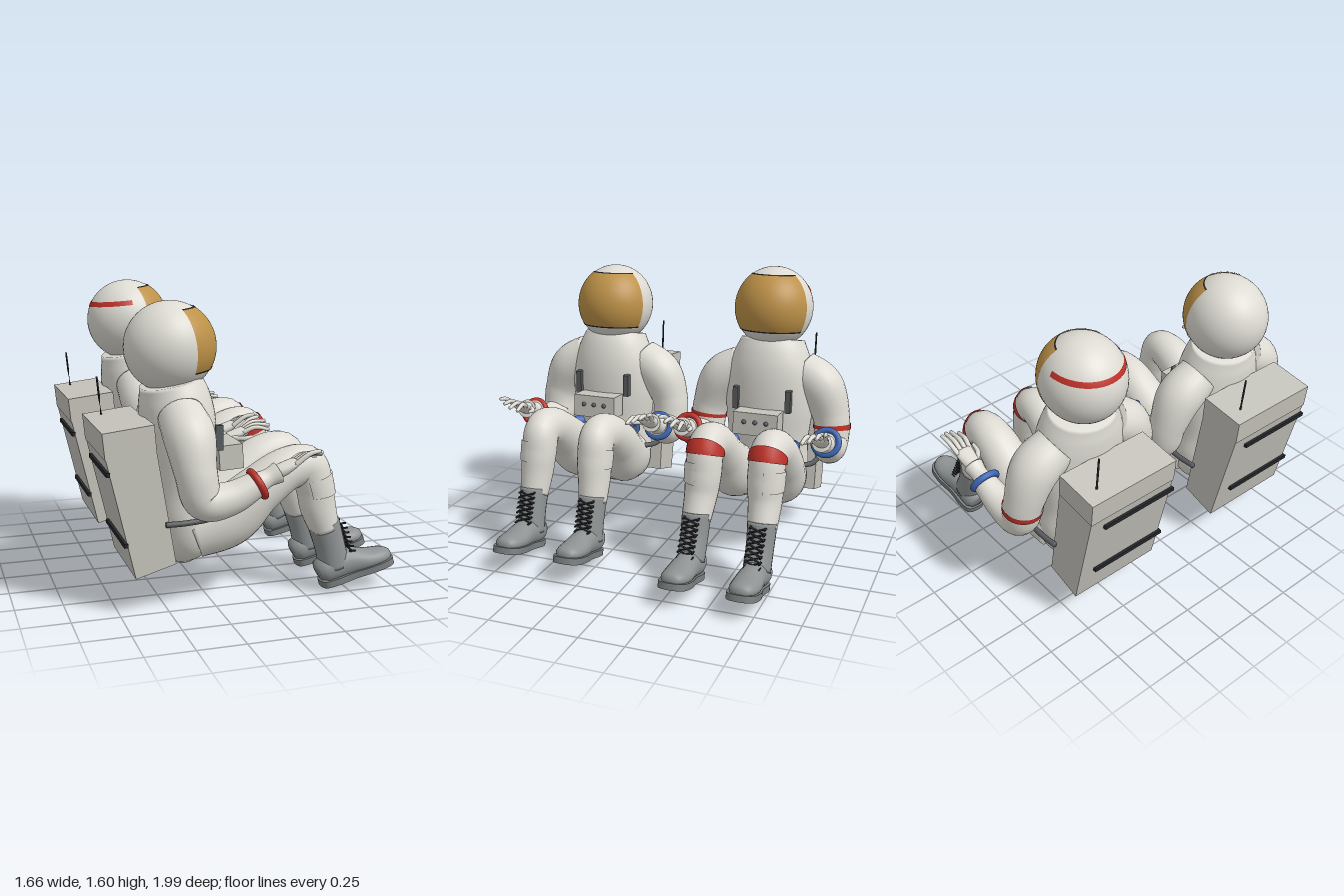
import * as THREE from 'three';
import { mergeVertices } from 'three/addons/utils/BufferGeometryUtils.js';

const mat = (name, color, side = THREE.FrontSide) => {
  const m = new THREE.MeshStandardMaterial({ color, side });
  m.name = name;
  return m;
};
const suit = mat('suitWhite', 0xdddbd3, THREE.DoubleSide);
const packGrey = mat('packGrey', 0xc6c4bc);
const boot = mat('bootGrey', 0x8e9292);
const soleGrey = mat('soleGrey', 0x7b7f7f);
const metal = mat('darkGrey', 0x585b5e);
const black = mat('black', 0x26272a, THREE.DoubleSide);
const gold = mat('visorGold', 0xbd9148, THREE.DoubleSide);
const red = mat('red', 0xbe3128, THREE.DoubleSide);
const blue = mat('blue', 0x3c66b4);

function add(parent, name, geo, material, pos = [0, 0, 0]) {
  const m = new THREE.Mesh(geo, material);
  m.name = name;
  m.position.set(...pos);
  parent.add(m);
  return m;
}

// Smooth sweep through points [x, y, z, radius, width along z].
// from/to pick a stretch, a0/a1 a part of the circumference, grow lifts it outward.
function limb(pts, { from = 0, to = 1, a0 = 0, a1 = Math.PI * 2, grow = 0, caps = true, seg = 24, n = 60 } = {}) {
  const spline = (f) => new THREE.CatmullRomCurve3(pts.map(f), false, 'catmullrom', 0.5);
  const path = spline((p) => new THREE.Vector3(p[0], p[1], p[2]));
  const size = spline((p) => new THREE.Vector3(p[3], p[4] ?? p[3], 0));
  const frames = path.computeFrenetFrames(n);
  const pos = [], idx = [];
  const ring = (i, k) => {
    const t = path.getUtoTmapping(i / n);
    const c = path.getPoint(t), r = size.getPoint(t);
    for (let j = 0; j <= seg; j++) {
      const a = a0 + (a1 - a0) * j / seg;
      const v = c.clone()
        .addScaledVector(frames.normals[i], Math.cos(a) * (r.y + grow) * k)
        .addScaledVector(frames.binormals[i], Math.sin(a) * (r.x + grow) * k);
      pos.push(v.x, v.y, v.z);
    }
  };
  const i0 = Math.round(from * n), i1 = Math.round(to * n);
  if (caps) ring(i0, 0);
  for (let i = i0; i <= i1; i++) ring(i, 1);
  if (caps) ring(i1, 0);
  const w = seg + 1, rows = pos.length / 3 / w;
  for (let i = 0; i < rows - 1; i++) {
    for (let j = 0; j < seg; j++) {
      const a = i * w + j;
      idx.push(a, a + 1, a + w, a + 1, a + w + 1, a + w);
    }
  }
  let g = new THREE.BufferGeometry();
  g.setAttribute('position', new THREE.Float32BufferAttribute(pos, 3));
  g.setIndex(idx);
  g = mergeVertices(g, 1e-5);
  g.computeVertexNormals();
  return g;
}

function extrude(points, depth) {
  const shape = new THREE.Shape(points.map((p) => new THREE.Vector2(p[0], p[1])));
  return new THREE.ExtrudeGeometry(shape, { depth, bevelEnabled: false });
}

// Helmet with gold visor, dark visor rims and optional rear stripe
function helmet(parent, y, striped) {
  const g = new THREE.Group();
  g.name = 'helmet';
  g.position.set(-0.42, y, 0);
  g.rotation.z = 0.09;
  g.scale.set(0.238, 0.235, 0.225);
  parent.add(g);
  const patch = (name, r, p0, pl, t0, tl, m) => add(g, name, new THREE.SphereGeometry(r, 40, 24, p0, pl, t0, tl), m);
  add(g, 'helmetShell', new THREE.SphereGeometry(1, 48, 32), suit);
  patch('visor', 1.012, Math.PI - 1.2, 2.4, 0.65, 1.48, gold);
  patch('visorTopRim', 1.02, Math.PI - 1.2, 2.4, 0.625, 0.04, black);
  patch('visorBottomRim', 1.02, Math.PI - 1.2, 2.4, 2.11, 0.04, black);
  if (striped) patch('helmetStripe', 1.012, -Math.PI / 2, Math.PI, 1.0, 0.13, red);
}

function backpack(parent) {
  const g = new THREE.Group();
  g.name = 'backpack';
  parent.add(g);
  add(g, 'packBody', extrude([[-0.813, 0.815], [-0.673, 0.2], [-0.465, 0.26], [-0.56, 0.85]], 0.54), packGrey, [0, 0, -0.27]);
  add(g, 'packLid', extrude([[-0.83, 0.95], [-0.817, 0.815], [-0.56, 0.85], [-0.57, 0.98]], 0.546), packGrey, [0, 0, -0.273]);
  add(g, 'antenna', limb([[-0.745, 0.95, -0.18, 0.006], [-0.765, 1.16, -0.18, 0.005]], { seg: 8, n: 2 }), black);
  for (const [x, y] of [[-0.805, 0.745], [-0.722, 0.38]]) {
    add(g, 'packBar', new THREE.BoxGeometry(0.02, 0.022, 0.46), black, [x, y, 0.05]);
  }
}

function arm(parent, s, striped) {
  const g = new THREE.Group();
  g.name = 'arm';
  parent.add(g);
  const dy = striped ? 0.015 : 0;
  const path = [[-0.41, 1.0 + dy, s * 0.17, 0.12], [-0.40, 0.91 + dy, s * 0.3, 0.13], [-0.39, 0.75, s * 0.37, 0.107],
    [-0.35, 0.61, s * 0.38, 0.1], [-0.22, 0.615, s * 0.395, 0.085], [-0.07, 0.69, s * 0.41, 0.064]];
  add(g, 'sleeve', limb(path), suit);
  if (striped) add(g, 'sleeveBand', limb(path, { from: 0.48, to: 0.52, grow: 0.005, caps: false }), red);

  // Wrist ring, cuff and hand
  const ring = add(g, 'wristRing', new THREE.TorusGeometry(0.07, 0.018, 14, 36), s > 0 ? red : blue, [-0.085, 0.68 + dy, s * 0.408]);
  ring.quaternion.setFromUnitVectors(new THREE.Vector3(0, 0, 1), new THREE.Vector3(0.88, 0.47, 0).normalize());
  const z = s * 0.405;
  add(g, 'cuff', limb([[-0.09, 0.68, z, 0.06], [-0.03, 0.705, z, 0.046], [0.025, 0.73, z, 0.055]], { n: 16 }), suit);
  add(g, 'palm', limb([[0.0, 0.725, z, 0.035], [0.05, 0.745, z, 0.034, 0.046], [0.11, 0.775, z, 0.022, 0.05], [0.125, 0.78, z, 0.01, 0.035]], { n: 16 }), suit);
  for (let k = 0; k < 4; k++) {
    const f = (k - 1.5) * s, reach = 0.22 + 0.025 * Math.sin(k * 1.1 + 0.4);
    add(g, 'finger', limb([[0.1, 0.77, z + f * 0.024, 0.014], [0.17, 0.80 + k * 0.008, z + f * 0.034, 0.013],
      [reach + 0.02, 0.785 + k * 0.018, z + f * 0.04, 0.01]], { seg: 10, n: 12 }), suit);
  }
  add(g, 'thumb', limb([[0.04, 0.74, z - s * 0.03, 0.018], [0.09, 0.745, z - s * 0.075, 0.014],
    [0.15, 0.755, z - s * 0.085, 0.01]], { seg: 10, n: 12 }), suit);
}

function leg(parent, s, striped) {
  const g = new THREE.Group();
  g.name = 'leg';
  parent.add(g);
  const dx = striped ? 0.05 : 0, dy = striped ? 0.02 : 0;
  const path = [[-0.34, 0.38, s * 0.12, 0.15, 0.13], [-0.15, 0.45, s * 0.15, 0.16, 0.135], [0, 0.58, s * 0.17, 0.13],
    [0.15, 0.68 + dy, s * 0.175, 0.115], [0.27, 0.69 + dy, s * 0.175, 0.11, 0.1], [0.315, 0.58, s * 0.175, 0.1],
    [0.335, 0.47, s * 0.18, 0.097, 0.092], [0.375 + dx * 0.5, 0.34, s * 0.185, 0.08]];
  add(g, 'trouserLeg', limb(path), suit);
  const a = s > 0 ? [1.75, 3.7] : [Math.PI - 3.7, Math.PI - 1.75];
  add(g, 'shinPocket', limb(path, { from: 0.71, to: 0.82, a0: a[0], a1: a[1], grow: 0.006, caps: false }), suit);
  if (striped) add(g, 'kneeBand', limb(path, { from: 0.65, to: 0.69, grow: 0.007, caps: false }), red);

  // Boot: shaft, foot and sole, toes raised
  const z = s * 0.185, b = dx * 0.5;
  add(g, 'bootShaft', limb([[0.368 + b, 0.375, z, 0.088, 0.08], [0.405 + b, 0.25, z, 0.083, 0.075], [0.435 + dx, 0.13, z, 0.085, 0.075]], { n: 16 }), boot);
  const foot = new THREE.Group();
  foot.name = 'foot';
  foot.position.set(0.35 + dx, striped ? 0.0 : 0.018, z);
  foot.rotation.z = 0.26;
  g.add(foot);
  add(foot, 'footUpper', limb([[0.012, 0.08, 0, 0.045, 0.05], [0.05, 0.088, 0, 0.075, 0.07], [0.18, 0.085, 0, 0.078, 0.072],
    [0.3, 0.06, 0, 0.056, 0.08], [0.39, 0.05, 0, 0.043, 0.068], [0.43, 0.045, 0, 0.025, 0.035]], { n: 30 }), boot);
  const half = [[0.02, 0.05], [0.08, 0.07], [0.2, 0.07], [0.32, 0.085], [0.41, 0.072], [0.437, 0.035]];
  const loop = [...half, ...half.map(([x, y]) => [x, -y]).reverse()].map(([x, y]) => new THREE.Vector3(x, y, 0));
  const outline = new THREE.CatmullRomCurve3(loop, true).getPoints(60).slice(0, -1).map((p) => [p.x, p.y]);
  add(foot, 'sole', extrude(outline, 0.036).rotateX(-Math.PI / 2), soleGrey);

  // Criss-cross laces with hooks
  const lace = (i, side) => {
    const t = i / 7;
    return new THREE.Vector3(0.457 + b + t * (0.07 + b), 0.375 - t * 0.185, z + side * 0.04);
  };
  for (const side of [-1, 1]) {
    const pts = [];
    for (let i = 0; i < 8; i++) {
      const p = lace(i, i % 2 ? side : -side);
      pts.push(p);
      add(g, 'laceHook', new THREE.BoxGeometry(0.035, 0.008, 0.01), black, [p.x + 0.005, p.y, p.z]);
    }
    const zig = new THREE.CurvePath();
    for (let i = 0; i < 7; i++) zig.add(new THREE.LineCurve3(pts[i], pts[i + 1]));
    add(g, 'lace', new THREE.TubeGeometry(zig, 56, 0.005, 6), black);
  }
}

function astronaut(name, striped) {
  const g = new THREE.Group();
  g.name = name;
  const up = striped ? 0.035 : 0;
  add(g, 'torso', limb([[-0.32, 0.208, 0, 0.05, 0.06], [-0.335, 0.24, 0, 0.11, 0.16], [-0.35, 0.32, 0, 0.155, 0.22],
    [-0.365, 0.45, 0, 0.165, 0.245], [-0.37, 0.6, 0, 0.175, 0.24], [-0.375, 0.8, 0, 0.19, 0.26],
    [-0.385, 0.95 + up, 0, 0.195, 0.255], [-0.40, 1.06 + up, 0, 0.185, 0.225], [-0.42, 1.15 + up, 0, 0.16, 0.185]], { seg: 40 }), suit);
  helmet(g, 1.325 + up * 1.3, striped);
  backpack(g);

  // Chest unit with knobs and straps
  add(g, 'chestBox', new THREE.BoxGeometry(0.13, 0.13, 0.26), packGrey, [-0.13, 0.755, 0]).rotation.z = 0.06;
  for (const k of [-1, 0, 1]) add(g, 'knob', new THREE.SphereGeometry(0.013, 12, 8), metal, [-0.063, 0.77, k * 0.065]);

  for (const s of [1, -1]) {
    add(g, 'chestStrap', new THREE.BoxGeometry(0.04, 0.13, 0.032), metal, [-0.207, 0.87, s * 0.155]);
    arm(g, s, striped);
    leg(g, s, striped);
    // Side rail and hose ports
    add(g, 'sideRail', limb([[-0.52, 0.47, s * 0.28, 0.015], [-0.4, 0.475, s * 0.29, 0.015], [-0.28, 0.485, s * 0.275, 0.015],
      [-0.17, 0.5, s * 0.18, 0.015], [-0.11, 0.55, s * 0.14, 0.015]], { seg: 12 }), metal);
    const port = (label, m, x, y) => {
      const p = new THREE.Group();
      p.name = label;
      p.position.set(x, y, s * 0.18);
      p.rotation.y = s > 0 ? Math.PI / 4 : Math.PI * 3 / 4;
      p.rotation.y = -s * 0.85;
      g.add(p);
      add(p, 'portRim', new THREE.CylinderGeometry(0.036, 0.036, 0.06, 20).rotateZ(Math.PI / 2), m);
      add(p, 'portCore', new THREE.CylinderGeometry(0.018, 0.018, 0.066, 16).rotateZ(Math.PI / 2), metal);
    };
    port('bluePort', blue, -0.235, 0.6);
    if (s > 0) port('redPort', red, -0.2, 0.47);
  }
  return g;
}

export function createModel() {
  const model = new THREE.Group();
  model.name = 'seatedAstronauts';
  const near = astronaut('plainAstronaut', false);
  near.position.z = 0.5;
  const far = astronaut('stripedAstronaut', true);
  far.position.z = -0.5;
  model.add(near, far);
  return model;
}
